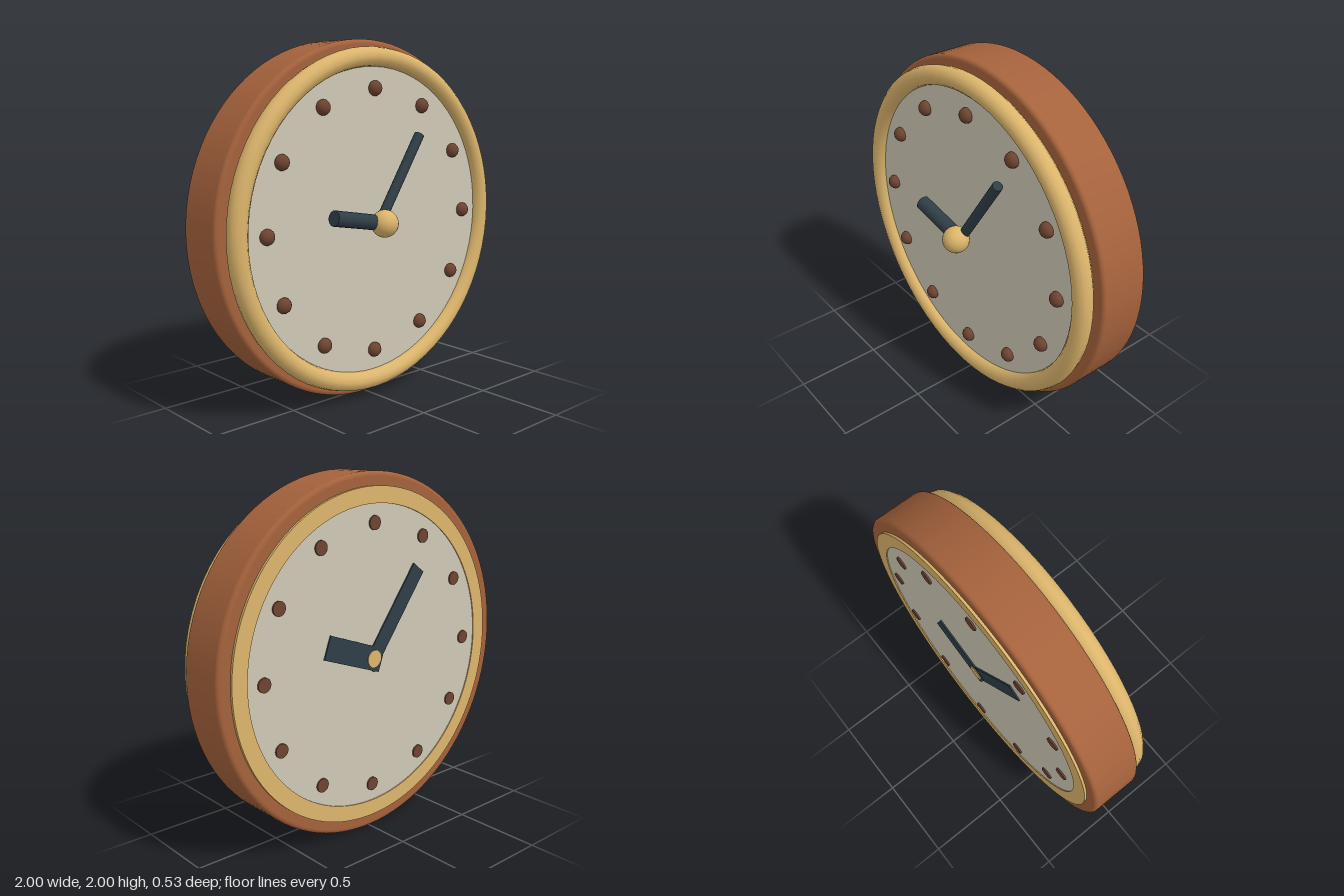
import * as THREE from 'three';

const mat = (name, color) => {
  const m = new THREE.MeshStandardMaterial({ color });
  m.name = name;
  return m;
};

export function createModel() {
  const wood = mat('wood', 0xa5623c);
  const brass = mat('brass', 0xdcb56c);
  const cream = mat('cream', 0xcfc8b5);
  const slate = mat('slate', 0x2f3e46);
  const brown = mat('brown', 0x6e4431);

  const model = new THREE.Group();
  model.name = 'wallClock';
  const clock = new THREE.Group();
  clock.name = 'clock';
  clock.position.y = 1;
  model.add(clock);

  const add = (parent, name, geometry, material, x = 0, y = 0, z = 0) => {
    const mesh = new THREE.Mesh(geometry, material);
    mesh.name = name;
    mesh.position.set(x, y, z);
    parent.add(mesh);
    return mesh;
  };
  // Disc whose flat sides face +z and -z
  const disc = (r, depth, sides = 64) =>
    new THREE.CylinderGeometry(r, r, depth, sides).rotateX(Math.PI / 2);
  const degrees = THREE.MathUtils.degToRad;

  // Round wooden case with softened rims
  const back = -0.24, front = 0.047, b = 0.022;
  const profile = [new THREE.Vector2(0, back), new THREE.Vector2(1 - b - 0.003, back)];
  for (const [z, start] of [[back + b, -90], [front - b, 0]]) {
    for (let i = 0; i <= 4; i++) {
      const a = degrees(start + i * 22.5);
      profile.push(new THREE.Vector2(1 - b + b * Math.cos(a), z + b * Math.sin(a)));
    }
  }
  profile.push(new THREE.Vector2(1 - b - 0.003, front), new THREE.Vector2(0, front));
  add(clock, 'case', new THREE.LatheGeometry(profile, 96).rotateX(Math.PI / 2), wood);

  // Front dial and its rounded bezel
  add(clock, 'frontDial', disc(0.89, 0.06), cream, 0, 0, 0.07);
  add(clock, 'frontBezel', new THREE.TorusGeometry(0.905, 0.054, 12, 72), brass, 0, 0, 0.097);

  // Hour markers as low domes
  for (let i = 0; i < 12; i++) {
    const a = i * Math.PI / 6;
    const dot = add(clock, 'hourMarker', new THREE.SphereGeometry(0.042, 16, 12), brown,
      0.735 * Math.sin(a), 0.735 * Math.cos(a), 0.11);
    dot.scale.z = 0.85;
  }

  // Round front hands, angles measured clockwise from twelve
  const frontHand = (name, r, length, angle, z) => {
    const geometry = new THREE.CylinderGeometry(r, r, length, 16).translate(0, length / 2, 0);
    add(clock, name, geometry, slate, 0, 0, z).rotation.z = -degrees(angle);
  };
  frontHand('minuteHand', 0.029, 0.567, 33, 0.15);
  frontHand('hourHand', 0.043, 0.352, -80, 0.167);
  add(clock, 'frontHub', new THREE.SphereGeometry(0.077, 24, 16), brass, 0, 0, 0.19);

  // Flat second dial on the back, turned to face -z
  const rear = new THREE.Group();
  rear.name = 'backDial';
  rear.rotation.y = Math.PI;
  rear.position.z = back;
  clock.add(rear);

  add(rear, 'backFace', disc(0.88, 0.008), cream, 0, 0, 0.004);
  const ring = new THREE.Shape().absarc(0, 0, 0.925, 0, Math.PI * 2, false);
  ring.holes.push(new THREE.Path().absarc(0, 0, 0.835, 0, Math.PI * 2, true));
  add(rear, 'backBezel',
    new THREE.ExtrudeGeometry(ring, { depth: 0.014, bevelEnabled: false, curveSegments: 64 }), brass);

  for (let i = 0; i < 12; i++) {
    const a = i * Math.PI / 6;
    add(rear, 'backHourMarker', disc(0.039, 0.009, 20), brown,
      0.735 * Math.sin(a), 0.735 * Math.cos(a), 0.0125);
  }

  const backHand = (name, width, length, angle, z) => {
    const tail = 0.06;
    const geometry = new THREE.BoxGeometry(width, length + tail, 0.008)
      .translate(0, (length - tail) / 2, 0);
    add(rear, name, geometry, slate, 0, 0, z).rotation.z = -degrees(angle);
  };
  backHand('backMinuteHand', 0.095, 0.573, 36, 0.0125);
  backHand('backHourHand', 0.132, 0.352, -70.5, 0.0135);
  add(rear, 'backHub', disc(0.048, 0.008, 24), brass, 0, 0, 0.0175);

  return model;
}
